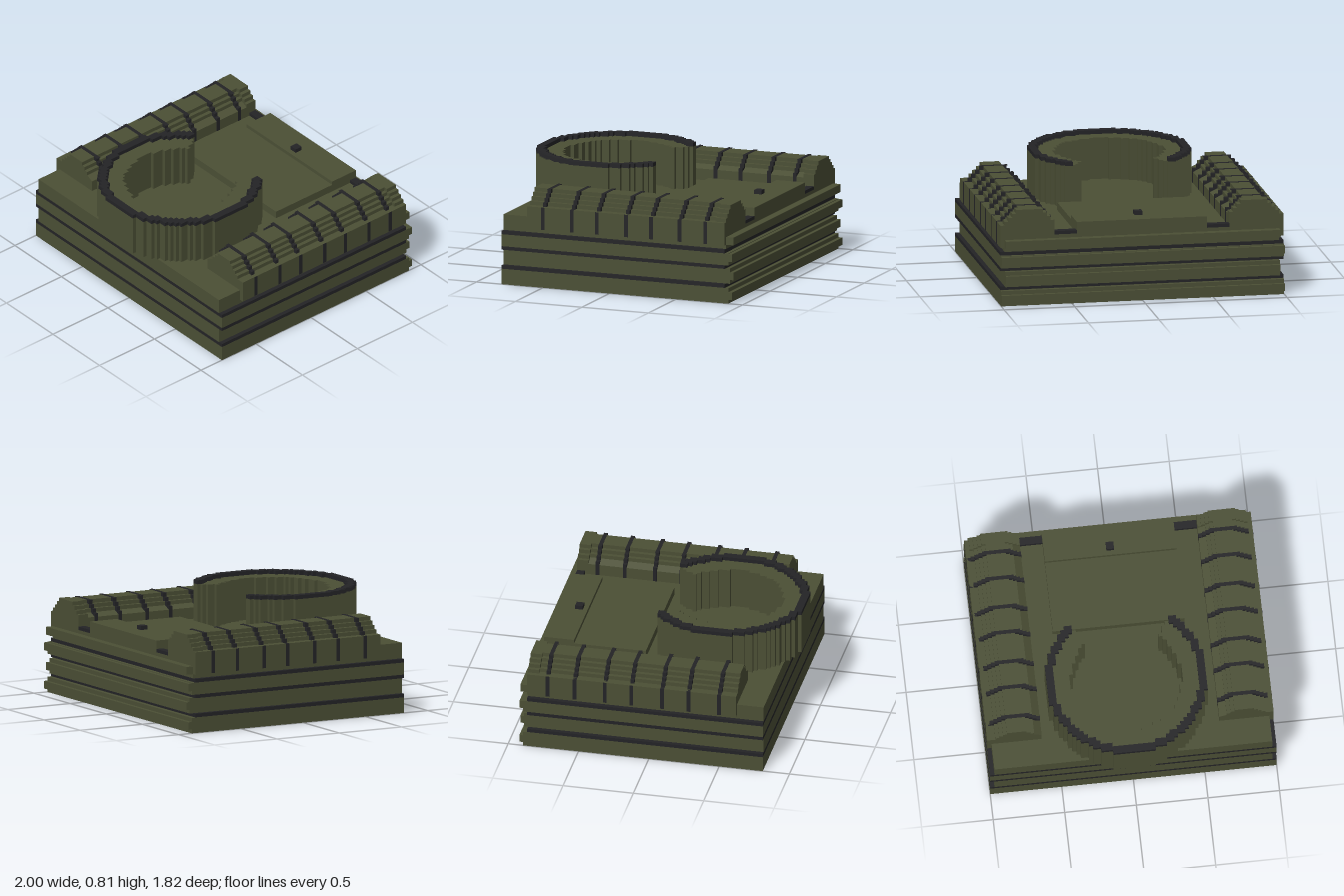
import * as THREE from 'three';

const olive = new THREE.MeshStandardMaterial({ color: 0x4b4f35 });
olive.name = 'olive';
const black = new THREE.MeshStandardMaterial({ color: 0x232326 });
black.name = 'black';

const U = 0.027; // block size

export function createModel() {
  const model = new THREE.Group();
  model.name = 'blockyHull';

  // Box given by its limits on each axis
  const box = (name, mat, x0, x1, y0, y1, z0, z1, parent = model) => {
    const mesh = new THREE.Mesh(new THREE.BoxGeometry(x1 - x0, y1 - y0, z1 - z0), mat);
    mesh.position.set((x0 + x1) / 2, (y0 + y1) / 2, (z0 + z1) / 2);
    mesh.name = name;
    parent.add(mesh);
    return mesh;
  };

  // Hull layers: [name, material, half width, bottom, top]
  [
    ['lowerHull', olive, 1, 0, 0.11],
    ['lowerStripe', black, 1, 0.11, 0.135],
    ['recessedHull', olive, 0.97, 0.135, 0.245],
    ['middleStripe', black, 1, 0.245, 0.27],
    ['middleHull', olive, 1, 0.27, 0.355],
    ['upperStripe', black, 1, 0.355, 0.38],
    ['upperHull', olive, 0.97, 0.38, 0.49],
  ].forEach(([name, mat, w, y0, y1]) => box(name, mat, -w, w, y0, y1, -0.865, 0.81));

  // Stepped ridges across the rear
  [[0, 0.027, 0.08, 0.108, 1], [0.135, 0.162, 0.216, 0.243, 0.97], [0.27, 0.297, 0.351, 0.355, 1]]
    .forEach(([y0, y1, y2, y3, w]) => {
      box('rearRidge', olive, -w, w, y0, y3, -0.893, -0.865);
      box('rearRidgeCrest', olive, -w, w, y1, y2, -0.92, -0.893);
    });
  box('rearTopRidge', olive, -0.97, 0.97, 0.41, 0.465, -0.92, -0.865);

  // Side humps: stepped section, inset by n blocks along its slopes
  const hump = (name, mat, side, inset, z0, z1) => {
    const pts = [[0.62, 0.41], [0.62, inset ? 0.57 : 0.595]];
    const k = inset * U;
    for (let i = 1; i <= 3; i++) {
      const x = 0.62 + U * i + k - U * 0.07;
      const y = 0.568 + U * i;
      pts.push([x, y], [x, y + U]);
    }
    for (let i = 3; i >= 0; i--) {
      const x = 0.97 - U * i - k;
      const y = 0.568 + U * i;
      pts.push([x, y + U], [x, y]);
    }
    pts.push([1, 0.568], [1, 0.41]);
    const shape = new THREE.Shape(pts.map(([x, y]) => new THREE.Vector2(side * x, y)));
    const mesh = new THREE.Mesh(
      new THREE.ExtrudeGeometry(shape, { depth: z1 - z0, bevelEnabled: false }), mat);
    mesh.position.z = z0;
    mesh.name = name;
    model.add(mesh);
  };
  for (const side of [-1, 1]) {
    hump('sideHump', olive, side, 1, -0.785, 0.62);
    hump('sideHumpRear', olive, side, 0, -0.865, -0.785);
    for (const z of [0.5, 0.282, 0.094, -0.125, -0.313, -0.527, -0.72]) {
      hump('humpRib', black, side, 0, z - U / 2, z + U / 2);
      // Flush dark faces where the rib crosses the crest and the outer wall
      box('ribOuterFace', black, side * 1.0005 - 0.001, side * 1.0005 + 0.001,
        0.41, 0.568, z - U / 2, z + U / 2);
      box('ribCrestFace', black, side * 0.79 - 0.1, side * 0.79 + 0.1,
        0.674, 0.677, z - U / 2, z + U / 2);
      box('ribInnerFace', black, side * 0.6195 - 0.001, side * 0.6195 + 0.001,
        0.49, 0.595, z - U / 2, z + U / 2);
    }
    // Dark vent beside the deck
    const vx = side * 0.54;
    box('rearVent', black, vx - 0.08, vx + 0.08, 0.49, 0.513, -0.865, -0.81);
  }

  // Rear deck with a small knob
  box('deckFront', olive, -0.46, 0.46, 0.49, 0.545, -0.65, -0.14);
  box('deckRear', olive, -0.46, 0.46, 0.49, 0.572, -0.865, -0.65);
  box('deckKnob', black, -0.027, 0.027, 0.572, 0.6, -0.738, -0.684);

  // Open ring made of block columns, joined into runs along x
  const ring = (name, mat, r0, r1, y0, y1) => {
    const group = new THREE.Group();
    group.name = name;
    const inside = (x, z) => {
      const r = Math.hypot(x, z);
      return r >= r0 && r <= r1 && Math.abs(Math.atan2(x, -z)) > 0.7;
    };
    for (let j = -21; j <= 21; j++) {
      let start = null;
      for (let i = -22; i <= 22; i++) {
        const on = inside(i * U, j * U);
        if (on && start === null) start = i;
        if (!on && start !== null) {
          const z = 0.345 + j * U;
          box(name + 'Row', mat, (start - 0.5) * U, (i - 0.5) * U, y0, y1, z - U / 2, z + U / 2, group);
          start = null;
        }
      }
    }
    model.add(group);
  };
  ring('ringWall', olive, 0.385, 0.56, 0.49, 0.785);
  ring('ringRim', black, 0.508, 0.56, 0.785, 0.812);

  return model;
}
